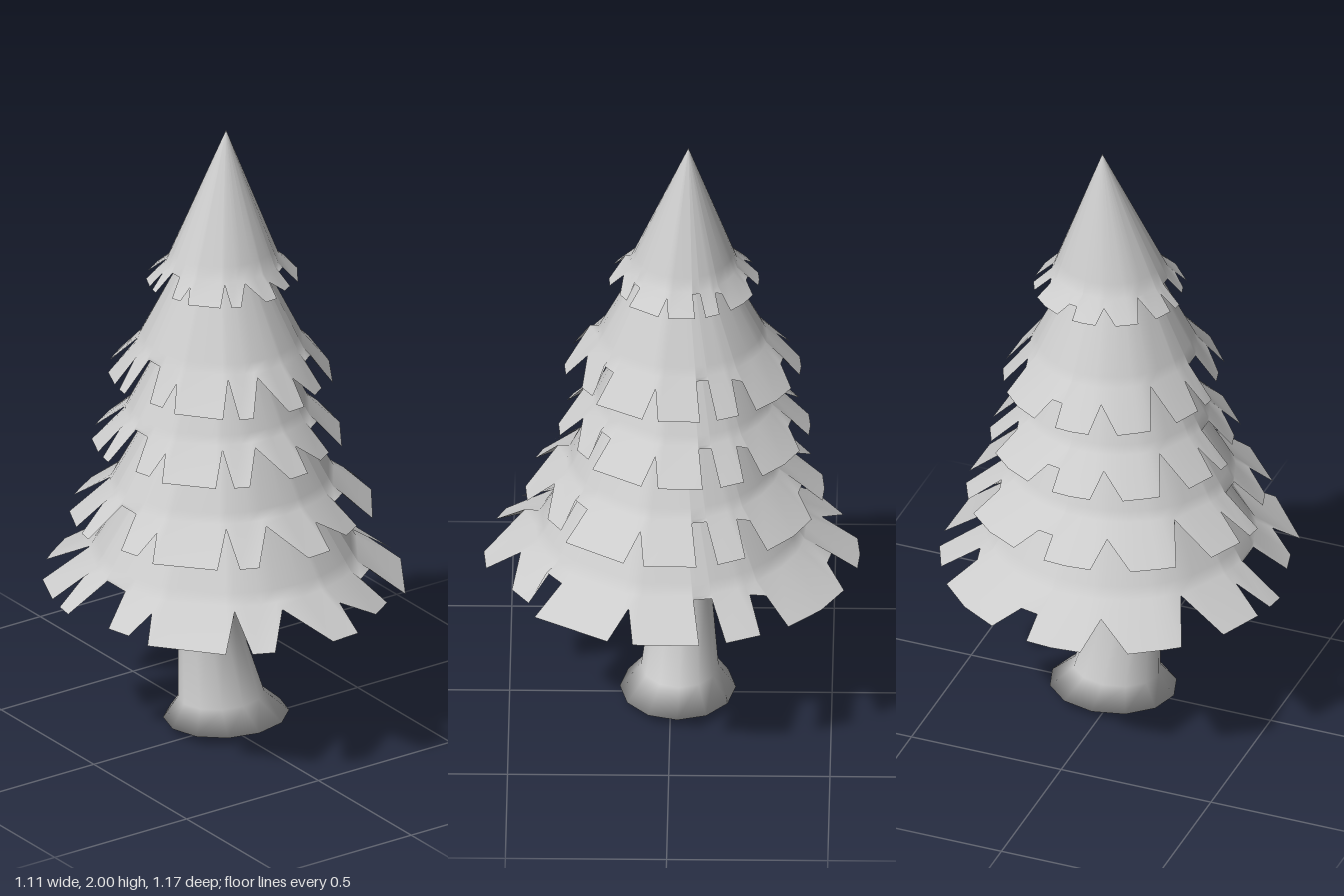
import * as THREE from 'three';

const TAU = Math.PI * 2;
const material = new THREE.MeshStandardMaterial({ color: 0xcccccc, side: THREE.DoubleSide });

// Ragged hem seen from above, clockwise from the back: x, z, lift (0 = branch tip, 1 = deep notch)
const HEM = [
  [-0.095, -0.578, 0], [0, -0.587, 0], [0.085, -0.58, 0], [0.08, -0.5, 0.55], [0.138, -0.487, 0.55],
  [0.215, -0.54, 0], [0.335, -0.47, 0], [0.435, -0.37, 0], [0.36, -0.3, 0.7], [0.37, -0.25, 0.8],
  [0.487, -0.285, 0], [0.535, -0.178, 0], [0.41, -0.132, 0.9], [0.42, -0.075, 0.9],
  [0.553, -0.095, 0], [0.55, 0.112, 0], [0.45, 0.125, 0.75],
  [0.53, 0.19, 0], [0.388, 0.418, 0], [0.31, 0.335, 0.8], [0.245, 0.382, 0.8],
  [0.305, 0.437, 0], [0.225, 0.49, 0], [0.105, 0.465, 0.65],
  [0.1, 0.572, 0], [0, 0.58, 0], [-0.105, 0.455, 0.95],
  [-0.195, 0.545, 0], [-0.26, 0.515, 0], [-0.23, 0.375, 0.9],
  [-0.33, 0.47, 0], [-0.49, 0.275, 0], [-0.425, 0.205, 0.7],
  [-0.495, 0.18, 0], [-0.515, 0.1, 0], [-0.42, 0.055, 0.9], [-0.42, -0.04, 0.9],
  [-0.555, -0.06, 0], [-0.545, -0.12, 0], [-0.44, -0.137, 0.75],
  [-0.53, -0.18, 0], [-0.47, -0.32, 0], [-0.315, -0.285, 0.9],
  [-0.375, -0.435, 0], [-0.33, -0.47, 0], [-0.235, -0.533, 0], [-0.12, -0.467, 0.65],
];
// Directions of the hem points, kept in rising order so the cone above never folds
const HEM_ANGLES = HEM.map(([x, z]) => (Math.atan2(x, -z) + TAU + 0.2) % TAU - 0.2);
for (let i = 1; i < HEM_ANGLES.length; i++) HEM_ANGLES[i] = Math.max(HEM_ANGLES[i], HEM_ANGLES[i - 1]);

// Joins closed rings of points, listed from top to bottom, into one smooth skin
function loft(rings) {
  const n = rings[0].length;
  const index = [];
  for (let r = 0; r < rings.length - 1; r++) {
    for (let i = 0; i < n; i++) {
      const a = r * n + i, b = r * n + (i + 1) % n;
      index.push(b + n, a + n, a, b + n, a, b);
    }
  }
  const geometry = new THREE.BufferGeometry();
  geometry.setAttribute('position', new THREE.Float32BufferAttribute(rings.flat(2), 3));
  geometry.setIndex(index);
  geometry.computeVertexNormals();
  return geometry;
}

const ellipse = (angles, cx, y, cz, rx, rz = rx) =>
  angles.map((a) => [cx + Math.sin(a) * rx, y, cz - Math.cos(a) * rz]);

// One skirt of branches: smooth cone down to the shoulder, then a flared ragged hem
function tierGeometry({ sx, sz, cx, cz, tipY, lift, topY, topR, apex }) {
  const [tx, tz] = apex || [cx, cz];
  const top = [tx, topY, tz, topR, topR];
  const shoulder = [cx, tipY + lift, cz, 0.42 * sx, 0.42 * sz];
  const cone = [0, 0.9, 1].map((t) =>
    ellipse(HEM_ANGLES, ...top.map((v, k) => THREE.MathUtils.lerp(v, shoulder[k], t))));
  return loft([...cone, HEM.map(([x, z, h]) => [cx + x * sx, tipY + h * lift, cz + z * sz])]);
}

const TIERS = [
  { sx: 1, sz: 1, cx: 0, cz: 0, tipY: 0.503, lift: 0.095, topY: 0.95, topR: 0.205 },
  { sx: 0.86, sz: 0.795, cx: -0.003, cz: -0.01, tipY: 0.74, lift: 0.1, topY: 1.14, topR: 0.185 },
  { sx: 0.7, sz: 0.67, cx: 0, cz: -0.04, tipY: 0.97, lift: 0.1, topY: 1.35, topR: 0.145 },
  { sx: 0.612, sz: 0.63, cx: 0.008, cz: -0.035, tipY: 1.19, lift: 0.11, topY: 1.6, topR: 0.11 },
  { sx: 0.43, sz: 0.4, cx: 0.018, cz: -0.04, tipY: 1.51, lift: 0.06, topY: 2, topR: 0, apex: [0.04, -0.055] },
];

// Bent trunk from top to root flare and shallow underside: centre x, y, centre z, radius x, radius z
const TRUNK = [
  [-0.02, 0.85, -0.033, 0.07, 0.07],
  [-0.035, 0.55, -0.033, 0.088, 0.085],
  [-0.045, 0.38, -0.035, 0.093, 0.088],
  [0.002, 0.1, -0.028, 0.14, 0.12],
  [0.017, 0.03, -0.022, 0.203, 0.18],
  [0.01, 0.004, -0.02, 0.03, 0.03],
  [0.01, 0, -0.02, 0, 0],
];

export function createModel() {
  const tree = new THREE.Group();
  tree.name = 'pineTree';
  const add = (name, geometry) => {
    const mesh = new THREE.Mesh(geometry, material);
    mesh.name = name;
    tree.add(mesh);
  };

  TIERS.forEach((tier, i) => add(`branchTier${i + 1}`, tierGeometry(tier)));

  const sides = Array.from({ length: 12 }, (_, i) => (i / 12) * TAU);
  add('trunk', loft(TRUNK.map((section) => ellipse(sides, ...section))));
  return tree;
}
